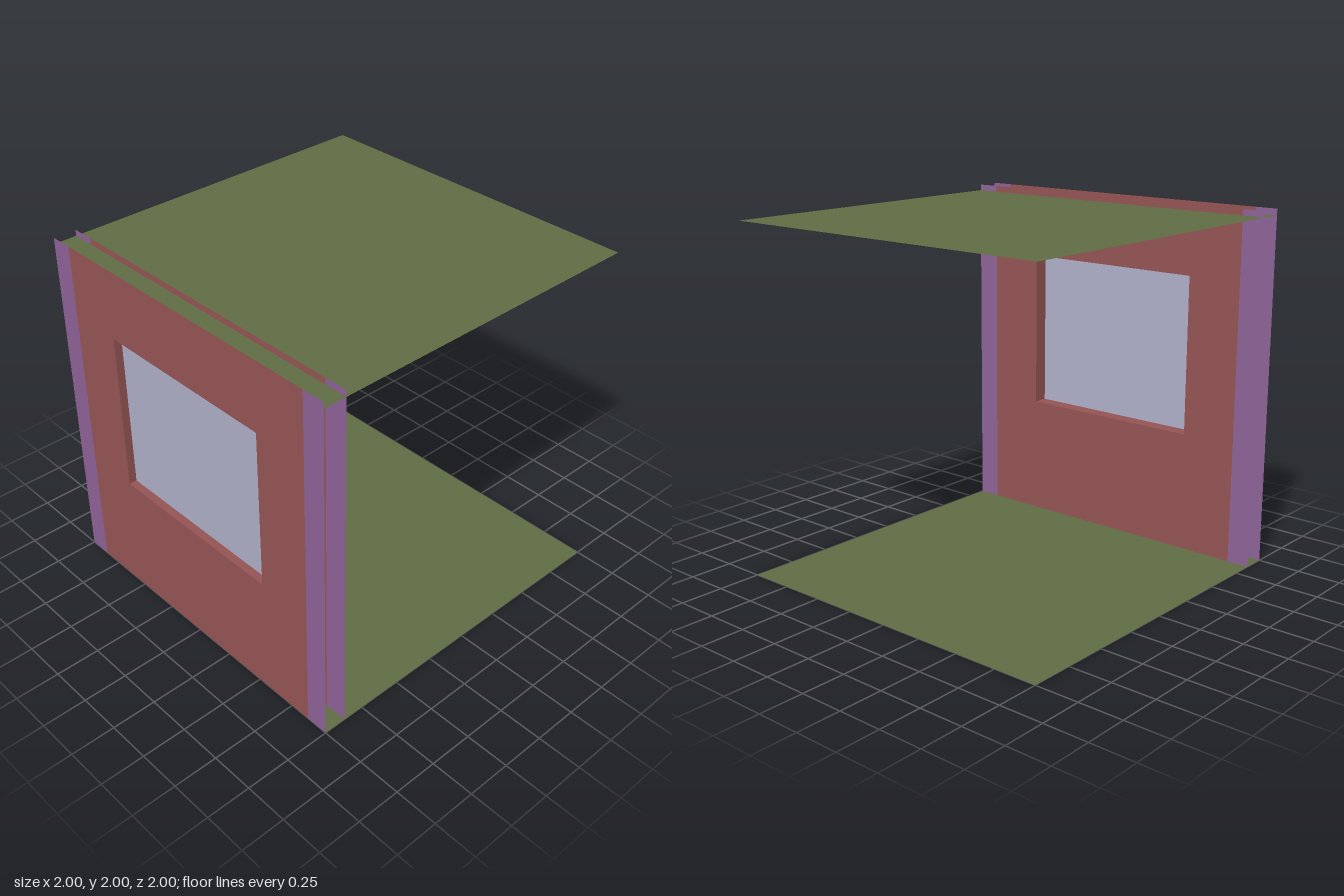
import * as THREE from 'three';

const mat = (color) => new THREE.MeshStandardMaterial({ color, side: THREE.DoubleSide });

export function createModel() {
  const model = new THREE.Group();
  const red = mat(0x965555), purple = mat(0x8f6399), glass = mat(0xb0b0ca), green = mat(0x5f6d44);

  const outerX = -1, innerX = -0.87, glassX = -0.955;
  const depth = innerX - outerX, midX = (innerX + outerX) / 2;
  const post = 0.13;                                  // width of the corner strips
  const win = { z: 0.548, bottom: 0.69, top: 1.605 }; // window opening
  const winH = win.top - win.bottom, winY = (win.top + win.bottom) / 2;

  const add = (name, geometry, material, x, y, z) => {
    const mesh = new THREE.Mesh(geometry, material);
    mesh.name = name;
    mesh.position.set(x, y, z);
    model.add(mesh);
  };
  const horizontal = (w, d) => new THREE.PlaneGeometry(w, d).rotateX(-Math.PI / 2);
  const upright = (w, h) => new THREE.PlaneGeometry(w, h).rotateY(Math.PI / 2);

  // Floor and ceiling sheets
  add('floor', horizontal(2, 2), green, 0, 0, 0);
  add('ceiling', horizontal(2, 2), green, 0, 1.965, 0);

  // Wall sheet with a window opening
  const half = 1 - post;
  const outline = new THREE.Shape([[-half, 0], [half, 0], [half, 2], [-half, 2]]
    .map(([a, b]) => new THREE.Vector2(a, b)));
  outline.holes.push(new THREE.Path([[-win.z, win.bottom], [-win.z, win.top], [win.z, win.top], [win.z, win.bottom]]
    .map(([a, b]) => new THREE.Vector2(a, b))));
  const wall = new THREE.ShapeGeometry(outline).rotateY(Math.PI / 2);

  // Two parallel wall faces, each with corner strips
  for (const [side, x] of [['outer', outerX], ['inner', innerX]]) {
    add(side + 'Wall', wall, red, x, 0, 0);
    for (const s of [-1, 1]) {
      add(side + (s > 0 ? 'FrontStrip' : 'BackStrip'), upright(post, 2), purple, x, 1, s * (1 - post / 2));
    }
  }

  // Window reveal joining the two faces
  add('windowSill', horizontal(depth, win.z * 2), red, midX, win.bottom, 0);
  add('windowHead', horizontal(depth, win.z * 2), red, midX, win.top, 0);
  for (const s of [-1, 1]) {
    add(s > 0 ? 'frontJamb' : 'backJamb', new THREE.PlaneGeometry(depth, winH), red, midX, winY, s * win.z);
  }

  // Glass pane
  add('windowPane', upright(win.z * 2, winH), glass, glassX, winY, 0);

  return model;
}
